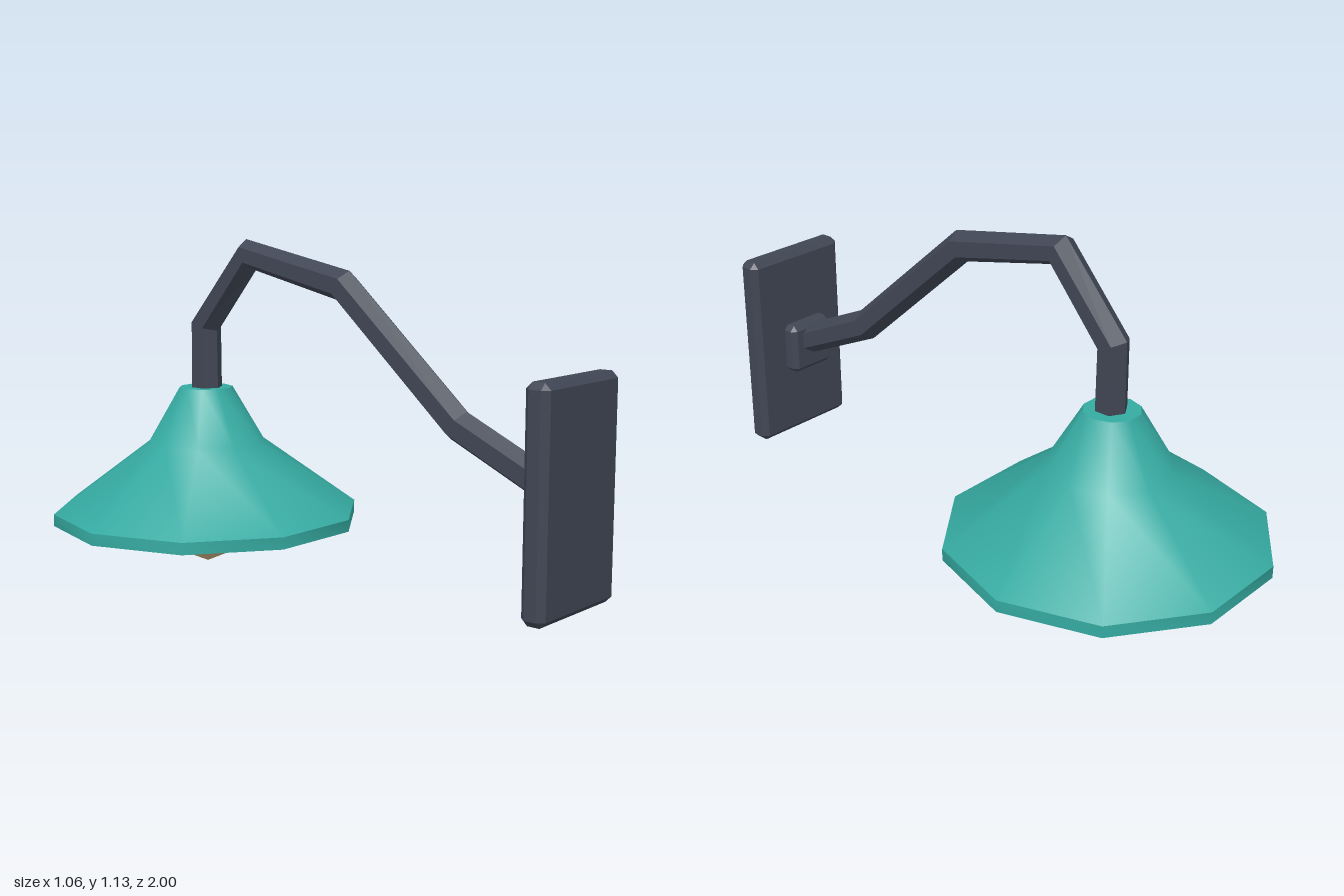
import * as THREE from 'three';
import { toCreasedNormals } from 'three/addons/utils/BufferGeometryUtils.js';
import { ConvexGeometry } from 'three/addons/geometries/ConvexGeometry.js';

const SHADE_Z = -0.495;

// Box with every edge cut at 45 degrees
function chamferedBox(w, h, d, c) {
  const points = [];
  for (const sx of [-1, 1]) for (const sy of [-1, 1]) for (const sz of [-1, 1]) {
    for (let axis = 0; axis < 3; axis++) {
      const inset = [c, c, c];
      inset[axis] = 0;
      points.push(new THREE.Vector3(
        sx * (w / 2 - inset[0]), sy * (h / 2 - inset[1]), sz * (d / 2 - inset[2])));
    }
  }
  return new ConvexGeometry(points);
}

// Six-sided bar along a bent path of [z, y] points, ridge upwards
function hexBar(path, radius) {
  const pts = path.map(([z, y]) => new THREE.Vector3(0, y, z));
  const dirs = pts.slice(1).map((p, i) => p.clone().sub(pts[i]).normalize());
  const rings = pts.map((p, i) => {
    const t = (dirs[i - 1] || dirs[0]).clone().add(dirs[i] || dirs[i - 1]).normalize();
    const n = new THREE.Vector3(0, -t.z, t.y);
    return Array.from({ length: 6 }, (_, j) => {
      const a = j * Math.PI / 3;
      const v = p.clone().addScaledVector(n, radius * Math.cos(a));
      v.x += radius * Math.sin(a);
      return v;
    });
  });
  const tris = [];
  const last = rings.length - 1;
  for (let j = 0; j < 6; j++) {
    const k = (j + 1) % 6;
    for (let i = 0; i < last; i++) {
      const a = rings[i], b = rings[i + 1];
      tris.push(a[j], a[k], b[k], a[j], b[k], b[j]);
    }
    tris.push(pts[0], rings[0][k], rings[0][j], pts[last], rings[last][j], rings[last][k]);
  }
  const geo = new THREE.BufferGeometry().setFromPoints(tris);
  geo.computeVertexNormals();
  return geo;
}

// Turned shape from [radius, y] points, bottom to top
function turned(profile, sides, start) {
  return new THREE.LatheGeometry(
    profile.map(([r, y]) => new THREE.Vector2(r, y)), sides, start);
}

function faceted(geo) {
  const g = geo.toNonIndexed();
  g.computeVertexNormals();
  return g;
}

export function createModel() {
  const material = (name, color) => {
    const m = new THREE.MeshStandardMaterial({ color });
    m.name = name;
    return m;
  };
  const slate = material('dark slate metal', 0x404654);
  const teal = material('teal enamel', 0x35aaa1);
  const tan = material('warm tan glass', 0xd0b080);

  const group = new THREE.Group();
  group.name = 'wallLamp';
  const add = (name, geo, mat, y = 0, z = 0) => {
    const mesh = new THREE.Mesh(geo, mat);
    mesh.name = name;
    mesh.position.set(0, y, z);
    group.add(mesh);
  };

  // Wall mounting
  add('wallPlate', chamferedBox(0.4, 0.69, 0.08, 0.02), slate, 0.43, 0.96);
  add('armBracket', chamferedBox(0.18, 0.18, 0.065, 0.018), slate, 0.43, 0.89);

  // Bent arm
  add('arm', hexBar([
    [0.89, 0.445], [0.57, 0.592], [0.12, 0.99], [-0.283, 1.075], [-0.49, 0.83], [-0.49, 0.59],
  ], 0.053), slate);

  // Ten-sided shade with a short vertical rim
  const shade = turned([
    [0, 0.15], [0.53, 0.15], [0.53, 0.19], [0.2, 0.43], [0.092, 0.615], [0, 0.615],
  ], 10, Math.PI / 10);
  add('shade', toCreasedNormals(shade, 0.7), teal, 0, SHADE_Z);

  // Light panel and bulb under the shade
  add('lightPanel', faceted(new THREE.CylinderGeometry(0.453, 0.453, 0.015, 10)), tan, 0.1485, SHADE_Z);
  add('bulb', faceted(turned([[0, 0], [0.112, 0.05], [0.15, 0.145]], 6, 0)), tan, 0, SHADE_Z);

  return group;
}
